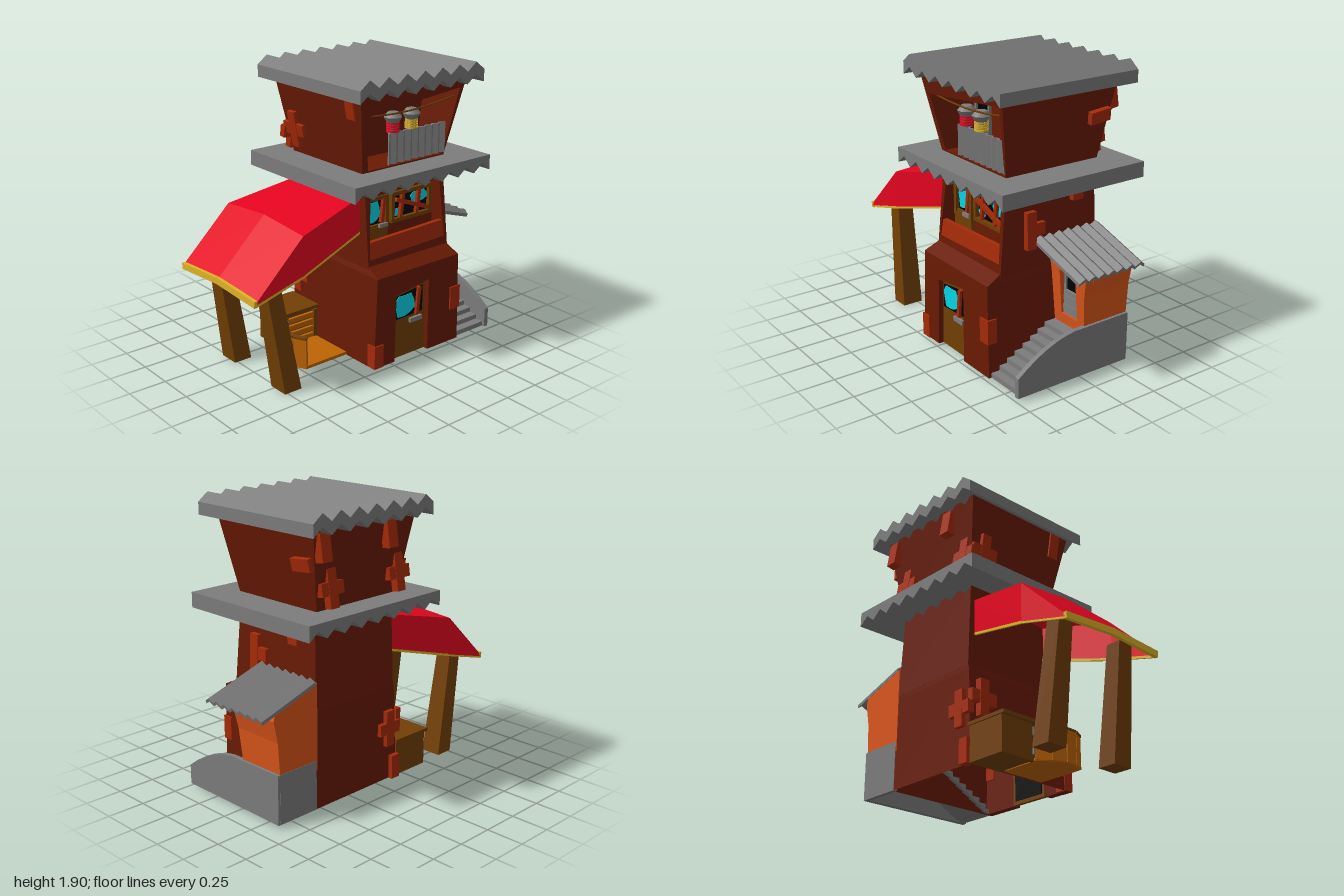
import * as THREE from 'three';

const paint = (name, color, side = THREE.FrontSide) => {
  const m = new THREE.MeshStandardMaterial({ color, side });
  m.name = name;
  return m;
};

export function createModel() {
  const root = new THREE.Group();
  root.name = 'towerHouse';
  const wall = paint('dark red wall', 0x691a03, THREE.DoubleSide), plank = paint('rust plank', 0xa52a08);
  const orange = paint('orange wall', 0xd95419), grey = paint('grey metal', 0x7c7c7c);
  const red = paint('red canvas', 0xe4041f, THREE.DoubleSide), brown = paint('brown wood', 0x723f04);
  const amber = paint('amber wood', 0xbd6404), yellow = paint('yellow trim', 0xdfb428);
  const cyan = paint('cyan glass', 0x04e2f4), black = paint('black opening', 0x020202);

  const add = (name, geo, mat) => {
    const m = new THREE.Mesh(geo, mat);
    m.name = name;
    root.add(m);
    return m;
  };
  const box = (name, mat, x0, x1, y0, y1, z0, z1) => {
    const m = add(name, new THREE.BoxGeometry(x1 - x0, y1 - y0, z1 - z0), mat);
    m.position.set((x0 + x1) / 2, (y0 + y1) / 2, (z0 + z1) / 2);
  };
  // Tapered block: bottom and top given as [x0, x1, z0, z1, y]
  const taper = (name, mat, bottom, top) => {
    const g = new THREE.BoxGeometry(1, 1, 1), p = g.attributes.position;
    for (let i = 0; i < p.count; i++) {
      const s = p.getY(i) < 0 ? bottom : top;
      p.setXYZ(i, p.getX(i) < 0 ? s[0] : s[1], s[4], p.getZ(i) < 0 ? s[2] : s[3]);
    }
    g.computeVertexNormals();
    return add(name, g, mat);
  };
  const outline = (pts) => pts.map(([x, y]) => new THREE.Vector2(x, y));
  const rect = (x0, x1, y0, y1, inset = 0) => [[x0 + inset, y0 + inset], [x1 - inset, y0 + inset],
    [x1 - inset, y1 - inset], [x0 + inset, y1 - inset]];
  const extrude = (pts, depth, hole) => {
    const s = new THREE.Shape(outline(pts));
    if (hole) s.holes.push(new THREE.Path(outline(hole)));
    return new THREE.ExtrudeGeometry(s, { depth, bevelEnabled: false });
  };
  // Front panel whose face lies at z = z0 + lean * y
  const panel = (name, mat, pts, z0, depth, hole, lean = 0) => {
    const g = extrude(pts, depth, hole), p = g.attributes.position;
    for (let i = 0; i < p.count; i++) p.setZ(i, p.getZ(i) - depth + z0 + lean * p.getY(i));
    g.computeVertexNormals();
    return add(name, g, mat);
  };
  // Panel outlined in (z, y), filling x0..x1
  const sidePanel = (name, mat, pts, x0, x1) =>
    add(name, extrude(pts, x1 - x0).rotateY(-Math.PI / 2).translate(x1, 0, 0), mat);
  const beam = (name, mat, a, b, w, h = w) => {
    const p = new THREE.Vector3(...a), q = new THREE.Vector3(...b);
    const m = add(name, new THREE.BoxGeometry(w, h, p.distanceTo(q)), mat);
    m.position.copy(p).lerp(q, 0.5);
    m.lookAt(q);
  };
  // Corrugated sheet along z; flat gives a level top at that height
  const corrugated = (width, waves, low, amp, thick, length, flat) => {
    const top = [], under = [];
    for (let i = 0; i <= waves * 2; i++) {
      const x = -width / 2 + (width * i) / (waves * 2), y = low + (i % 2) * amp;
      under.push([x, y]);
      top.unshift([x, flat ?? y + thick]);
    }
    return extrude(under.concat(top), length).translate(0, 0, -length / 2);
  };
  // Ragged pane of broken glass
  const shard = (x, y, rx, ry, z) => {
    const pts = [];
    for (let i = 0; i < 10; i++) {
      const a = (i * Math.PI) / 5 + 0.3, r = 1 + 0.15 * Math.sin(i * 2.3);
      pts.push([x + rx * r * Math.cos(a), y + ry * r * Math.sin(a)]);
    }
    panel('brokenGlass', cyan, pts, z, 0.004);
  };

  // Ground floor, hollow and open below, with door recess
  const shell = taper('groundFloor', wall, [-0.165, 0.575, -0.36, 0.44, 0.02], [-0.14, 0.56, -0.355, 0.44, 0.63]);
  const faces = [...shell.geometry.index.array];
  faces.splice(18, 6);
  shell.geometry.setIndex(faces);
  const door = [[0.01, 0.02], [0.02, 0.48], [0.3, 0.52], [0.3, 0.02]];
  panel('groundFront', wall, [[-0.165, 0.02], ...door, [0.575, 0.02], [0.56, 0.63], [-0.14, 0.63]], 0.49, 0.05);
  taper('groundLedge', wall, [-0.14, 0.56, -0.355, 0.49, 0.63], [-0.125, 0.55, -0.354, 0.39, 0.68]);
  panel('frontDoor', brown, door, 0.455, 0.025);
  box('doorInside', black, 0.035, 0.275, 0.045, 0.46, 0.424, 0.43);
  panel('doorWindow', black, [[0.03, 0.29], [0.275, 0.3], [0.275, 0.48], [0.035, 0.45]], 0.459, 0.004);
  shard(0.117, 0.378, 0.085, 0.08, 0.463);
  beam('doorBar', plank, [0.215, 0.29, 0.466], [0.235, 0.48, 0.466], 0.025);
  box('doorHandle', grey, 0.16, 0.26, 0.245, 0.275, 0.455, 0.475);

  // Middle storey with recessed windows behind a parapet
  taper('middleFloor', wall, [-0.13, 0.555, -0.355, 0.27, 0.66], [-0.125, 0.54, -0.335, 0.27, 1.22]);
  panel('middleFront', wall, [[-0.13, 0.66], [0.555, 0.66], [0.54, 1.22], [-0.125, 1.22]], 0.45, 0.15,
    [[-0.115, 0.72], [0.53, 0.735], [0.505, 1.13], [-0.085, 1.115]], -0.09);
  panel('parapet', plank, [[-0.115, 0.715], [0.53, 0.73], [0.52, 0.845], [-0.1, 0.83]], 0.445, 0.03, null, -0.09);
  for (const [x0, x1, y0] of [[-0.08, 0.115, 0.86], [0.14, 0.49, 0.885]]) {
    panel('windowFrame', brown, rect(x0, x1, y0, 1.09), 0.3, 0.03, rect(x0, x1, y0, 1.09, 0.025));
    panel('windowHole', black, rect(x0, x1, y0, 1.09, 0.025), 0.275, 0.005);
  }
  box('balconyDoor', brown, -0.075, 0.11, 0.68, 0.9, 0.27, 0.295);
  box('balconyHandle', grey, 0.03, 0.1, 0.88, 0.905, 0.295, 0.31);
  shard(0.0, 0.985, 0.055, 0.075, 0.28);
  shard(0.205, 0.945, 0.036, 0.028, 0.28);
  shard(0.39, 1.015, 0.075, 0.042, 0.28);
  beam('windowBoard', plank, [0.17, 1.04, 0.3], [0.46, 0.93, 0.3], 0.026);
  for (const x of [0.07, 0.23, 0.37]) beam('windowBoard', plank, [x - 0.01, 0.91, 0.29], [x + 0.01, 1.07, 0.29], 0.024);

  // Flared top storey with open balcony
  taper('topFloor', wall, [-0.14, 0.54, -0.35, 0.1, 1.26], [-0.24, 0.635, -0.425, 0.1, 1.8]);
  panel('topFront', wall, [[-0.14, 1.26], [0.54, 1.26], [0.635, 1.8], [-0.24, 1.8]], 0.1, 0.36,
    [[-0.1, 1.29], [0.53, 1.29], [0.59, 1.73], [-0.17, 1.65]], 0.188);
  const rail = add('balconyRail', corrugated(0.48, 8, 0, 0.02, 0.012, 0.2).rotateX(-Math.PI / 2), grey);
  rail.position.set(0.3, 1.4, 0.355);

  // Boarded doorway: dark top half over grey planks
  const doorway = (x0, x1, y0, y1, z) => {
    panel('doorwayFrame', grey, rect(x0, x1, y0, y1), z + 0.02, 0.025, rect(x0, x1, y0, y1, 0.016));
    panel('doorwayDark', black, rect(x0, x1, y0, y1, 0.016), z + 0.006, 0.006);
    const h = (y1 - y0) * 0.106;
    for (let i = 0; i < 5; i++)
      box('doorwayPlank', grey, x0 + 0.006, x1 - 0.006, y0 + h * i, y0 + h * (i + 1), z, z + 0.024 + (i % 2) * 0.006);
  };
  doorway(-0.1, 0.06, 1.29, 1.61, 0.1);

  // Cord with two hanging lanterns
  const cord = new THREE.QuadraticBezierCurve3(new THREE.Vector3(-0.17, 1.65, 0.38),
    new THREE.Vector3(0.2, 1.6, 0.37), new THREE.Vector3(0.58, 1.67, 0.38));
  add('cord', new THREE.TubeGeometry(cord, 10, 0.006, 5), brown);
  for (const [x, mat] of [[0.115, red], [0.27, yellow]]) {
    const drum = (name, m, r0, r1, h, y) =>
      add(name, new THREE.CylinderGeometry(r0, r1, h, 8).rotateY(Math.PI / 8), m).position.set(x, y, 0.325);
    drum('lanternCap', grey, 0.035, 0.06, 0.03, 1.612);
    drum('lanternBrim', grey, 0.06, 0.04, 0.035, 1.58);
    drum('lanternCore', grey, 0.038, 0.038, 0.09, 1.54);
    for (let i = 0; i < 4; i++) drum('lanternRing', mat, 0.044, 0.044, 0.012, 1.557 - i * 0.016);
  }

  // Corrugated roofs
  add('topRoof', corrugated(1.02, 7, 1.765, 0.055, 0.08, 1.02), grey).position.x = 0.205;
  add('middleRoof', corrugated(1.135, 8, 1.18, 0.055, 0, 1.07, 1.28), grey).position.x = 0.207;
  const hutRoof = add('hutRoof', corrugated(0.51, 7, -0.012, 0.026, 0.022, 0.45).rotateY(Math.PI / 2), grey);
  hutRoof.position.set(0.78, 0.777, -0.11);
  hutRoof.rotation.z = -0.307;

  // Side hut with a recessed doorway, on its stair base
  const gable = [[0.55, 0.28], [0.852, 0.28], [0.87, 0.55], [0.9, 0.69], [0.885, 0.745], [0.55, 0.845]];
  panel('hut', orange, gable, -0.06, 0.3);
  panel('hutFront', orange, gable, -0.048, 0.06, rect(0.64, 0.79, 0.35, 0.65), 0.08);
  doorway(0.64, 0.79, 0.35, 0.65, -0.056);
  const banister = [[-0.36, 0.345], [-0.36, 0.02], [0.49, 0.02]];
  for (let z = 0.49; z >= 0; z -= 0.07) banister.push([z, 0.345 - 0.81 * z * z]);
  sidePanel('stairWall', grey, banister, 0.842, 0.875);
  box('stairBack', grey, 0.56, 0.86, 0.02, 0.345, -0.362, -0.335);
  const tread = [], soffit = [], run = 0.059, rise = 0.0325;
  for (let i = 0; i < 8; i++) {
    const z = 0.47 - run * i, y = 0.02 + rise * i;
    tread.push([z, y], [z, y + rise]);
    soffit.unshift([z - 0.02, y], [z - run - 0.02, y + 0.014]);
  }
  sidePanel('stairs', grey, [...tread, [-0.35, 0.28], [-0.35, 0.265], ...soffit], 0.55, 0.845);
  sidePanel('underStairWall', orange, [[-0.34, 0.022], [0.42, 0.022], [0, 0.255], [-0.34, 0.255]], 0.575, 0.58);

  // Red awning: cross-sections [x, centre y, edge y, lower y, half width]
  const ribs = [[-0.11, 1.145, 1.125, 0.895, 0.3], [-0.64, 1.04, 1.01, 0.755, 0.395], [-0.985, 0.71, 0.68, 0.662, 0.395]];
  const sheet = new THREE.PlaneGeometry(1, 1, 4, 2), sp = sheet.attributes.position;
  for (let i = 0; i < sp.count; i++) {
    const r = ribs[Math.floor(i / 5)], k = i % 5;
    sp.setXYZ(i, r[0], r[3 - Math.min(k, 4 - k)], r[4] * Math.sign(k - 2));
  }
  const canvas = sheet.toNonIndexed();
  canvas.computeVertexNormals();
  add('awning', canvas, red);
  for (const s of [-1, 1]) {
    for (let i = 0; i < 2; i++) {
      const [a, b] = [ribs[i], ribs[i + 1]];
      beam('awningSideTrim', yellow, [a[0], a[3] - 0.004, s * (a[4] - 0.006)], [b[0], b[3] - 0.004, s * (b[4] - 0.006)], 0.012, 0.016);
    }
    beam('awningEndTrim', yellow, [-0.988, 0.695, 0], [-0.988, 0.67, s * 0.395], 0.024, 0.042);
  }
  for (const [foot, head] of [[0.29, 0.26], [-0.255, -0.255]])
    taper('awningPost', brown, [-0.77, -0.645, foot - 0.072, foot + 0.072, 0], [-0.865, -0.765, head - 0.055, head + 0.055, 0.75]);

  // Slatted cupboard with a rounded amber bay
  box('cupboard', brown, -0.44, -0.16, 0.02, 0.25, -0.365, -0.12);
  box('cupboardTop', brown, -0.465, -0.155, 0.25, 0.272, -0.375, -0.09);
  for (let i = 0; i < 4; i++) box('cupboardSlat', amber, -0.4, -0.19, 0.04 + i * 0.05, 0.073 + i * 0.05, -0.12, -0.1);
  for (const x of [-0.43, -0.19]) box('cupboardStile', brown, x, x + 0.03, 0.025, 0.24, -0.12, -0.095);
  const bend = (i) => [-0.44 - 0.1 * Math.sin(i * 0.65), -0.1 + 0.08 * i];
  const floorEdge = [[-0.17, -0.1], [-0.17, 0.22]];
  for (let i = 4; i >= 0; i--) floorEdge.push(bend(i));
  add('bayFloor', extrude(floorEdge, 0.02).rotateX(Math.PI / 2).translate(0, 0.045, 0), amber);
  for (let i = 0; i < 4; i++) {
    const [ax, az] = bend(i), [bx, bz] = bend(i + 1);
    beam('bayWall', amber, [ax, 0.133, az], [bx, 0.133, bz], 0.022, 0.21);
    beam('bayRim', brown, [ax, 0.236, az], [bx, 0.236, bz], 0.034, 0.014);
  }
  for (const y of [0.06, 0.18]) box('hinge', grey, -0.45, -0.41, y, y + 0.05, -0.12, -0.085);

  // Rust boards and crosses nailed on; tx and tz follow the leaning walls
  const patch = (x, y, z, w, h, d, tx = 0, tz = 0) => {
    const m = add('patchBoard', new THREE.BoxGeometry(w, h, d), plank);
    m.position.set(x, y, z);
    m.rotation.set(tx, 0, tz);
  };
  const sideCross = (x, y, z, tz = 0) => {
    patch(x, y, z, 0.045, 0.24, 0.07, 0, tz);
    patch(x, y, z, 0.04, 0.08, 0.2, 0, tz);
  };
  const backCross = (x, y, z, tx = 0) => {
    patch(x, y, z, 0.07, 0.24, 0.05, tx);
    patch(x, y, z, 0.18, 0.08, 0.045, tx);
  };
  patch(-0.13, 0.1, 0.465, 0.075, 0.155, 0.07);
  patch(0.535, 0.33, 0.465, 0.085, 0.16, 0.07);
  patch(-0.13, 0.1, -0.365, 0.07, 0.16, 0.05);
  sideCross(-0.17, 0.45, -0.27);
  backCross(-0.08, 0.38, -0.363);
  patch(0.56, 0.92, 0.175, 0.05, 0.24, 0.07, 0, 0.03);
  patch(0.558, 0.92, 0.11, 0.045, 0.08, 0.08, 0, 0.03);
  patch(0.555, 1.16, -0.18, 0.045, 0.08, 0.24);
  patch(0.56, 1.125, -0.18, 0.05, 0.15, 0.08);
  patch(0.605, 1.57, -0.305, 0.05, 0.08, 0.15, 0.1, -0.17);
  patch(-0.21, 1.715, 0.32, 0.05, 0.17, 0.08, 0, 0.18);
  sideCross(-0.18, 1.45, -0.28, 0.18);
  for (const x of [-0.12, 0.46]) backCross(x, 1.415, -0.385, 0.15);
  for (const x of [0.0, 0.56]) patch(x, 1.68, -0.425, 0.08, 0.17, 0.06, 0.15);
  return root;
}
